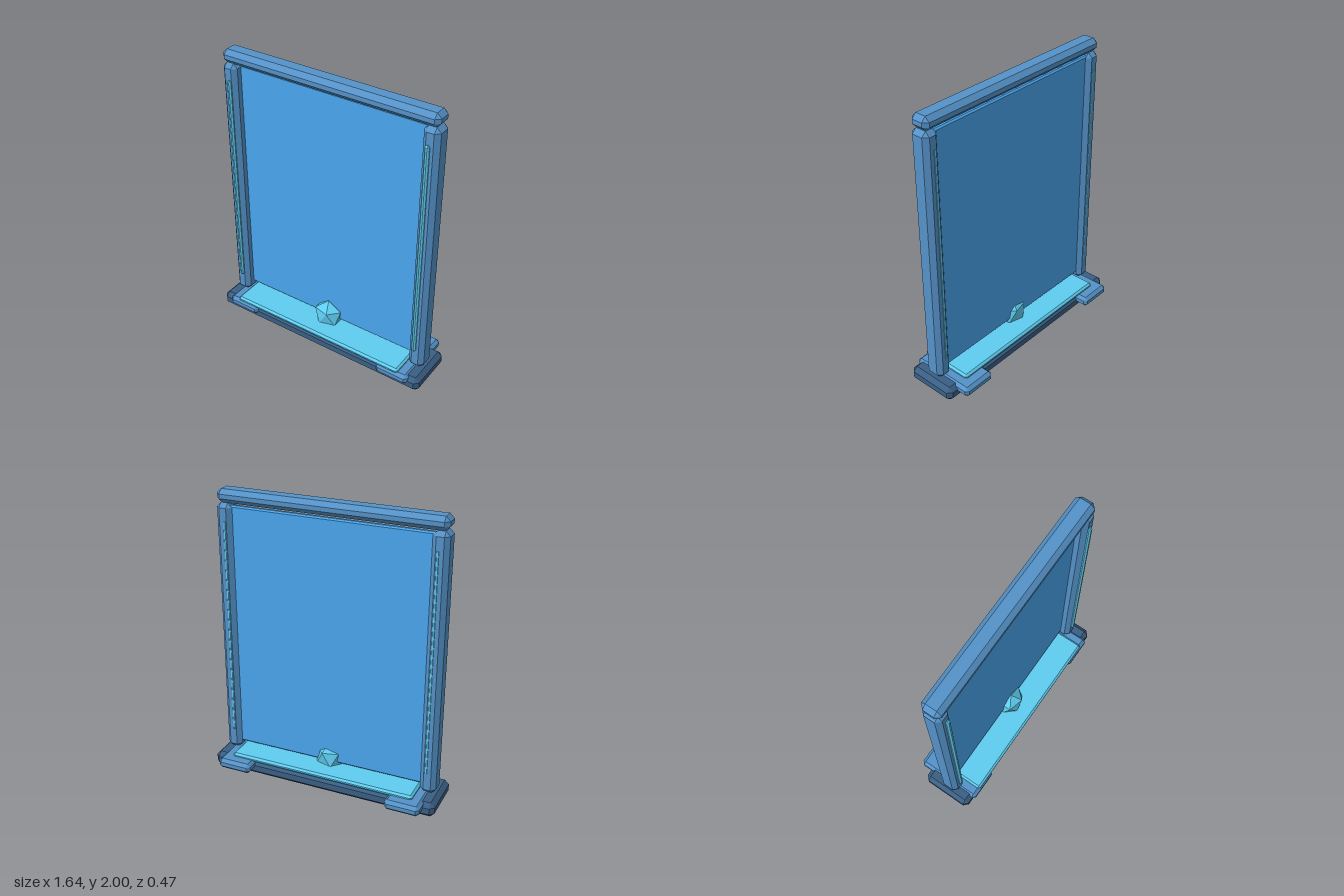
import * as THREE from 'three';
import { ConvexGeometry } from 'three/addons/geometries/ConvexGeometry.js';

const material = (color) => new THREE.MeshStandardMaterial({ color, flatShading: true });

// Box given by its extents, with every edge and corner chamfered by c
function chamferBox([x0, x1], [y0, y1], [z0, z1], c) {
  const h = [(x1 - x0) / 2, (y1 - y0) / 2, (z1 - z0) / 2];
  const points = [];
  for (const sx of [-1, 1]) for (const sy of [-1, 1]) for (const sz of [-1, 1]) {
    for (let axis = 0; axis < 3; axis++) {
      const d = h.map((v, i) => (i === axis ? v : v - c));
      points.push(new THREE.Vector3(sx * d[0], sy * d[1], sz * d[2]));
    }
  }
  return new ConvexGeometry(points).translate((x0 + x1) / 2, (y0 + y1) / 2, (z0 + z1) / 2);
}

// Twenty-sided gem standing on a point, ring radius r, flattened in z
function gemGeometry(r, flatten) {
  const points = [new THREE.Vector3(0, r * 1.118, 0), new THREE.Vector3(0, -r * 1.118, 0)];
  for (let i = 0; i < 10; i++) {
    const a = (i * Math.PI) / 5;
    points.push(new THREE.Vector3(r * Math.cos(a), i % 2 ? -r / 2 : r / 2, r * Math.sin(a) * flatten));
  }
  return new ConvexGeometry(points);
}

export function createModel() {
  const model = new THREE.Group();
  const dark = material(0x3a5f84);
  const frame = material(0x5592c8);
  const pane = material(0x4aa6ee);
  const accent = material(0x5ecdf0);

  const add = (name, geometry, mat) => {
    const mesh = new THREE.Mesh(geometry, mat);
    mesh.name = name;
    model.add(mesh);
    return mesh;
  };

  // Base slab, tray and top beam
  add('base', chamferBox([-0.82, 0.82], [0, 0.105], [-0.152, 0.212], 0.03), dark);
  add('tray', chamferBox([-0.67, 0.67], [0.1, 0.138], [-0.158, 0.224], 0.014), accent);
  add('topBeam', chamferBox([-0.78, 0.78], [1.91, 2], [-0.035, 0.1], 0.03), frame);

  // Panel held between the posts
  add('panel', chamferBox([-0.7, 0.7], [0.158, 1.895], [-0.005, 0.035], 0.01), pane);

  // Posts, light strips set through them, and feet across the base
  for (const [side, s] of [['left', 1], ['right', -1]]) {
    const span = (a, b) => (s > 0 ? [a, b] : [-b, -a]);
    add(side + 'Post', chamferBox(span(0.675, 0.785), [0.105, 1.91], [-0.035, 0.1], 0.03), frame);
    add(side + 'Strip', chamferBox(span(0.704, 0.735), [0.25, 1.8], [-0.037, 0.117], 0.01), accent);
    add(side + 'Foot', chamferBox(span(0.5, 0.745), [0.042, 0.115], [-0.238, 0.23], 0.022), frame);
  }

  // Gem resting in the tray, poking through the panel
  add('gem', gemGeometry(0.1, 0.8), accent).position.set(0, 0.178, 0.04);

  return model;
}
